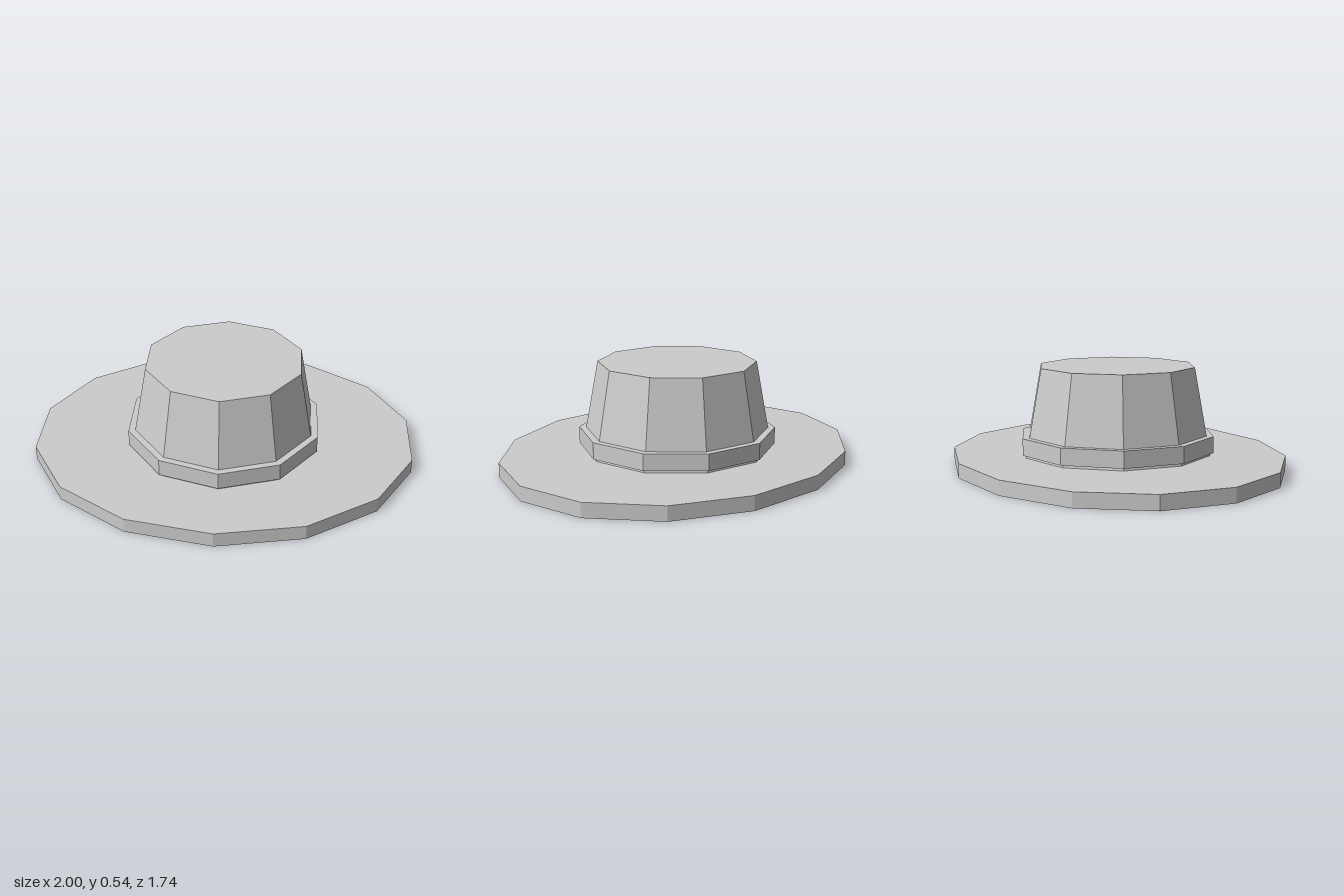
import * as THREE from 'three';

export function createModel() {
  const hat = new THREE.Group();
  hat.name = 'hat';
  const felt = new THREE.MeshStandardMaterial({ color: 0xcccccc, flatShading: true });
  felt.name = 'grey felt';

  // Faceted ring or drum standing between two heights
  function drum(name, topRadius, bottomRadius, y0, y1, sides) {
    const geometry = new THREE.CylinderGeometry(topRadius, bottomRadius, y1 - y0, sides);
    geometry.translate(0, (y0 + y1) / 2, 0);
    const mesh = new THREE.Mesh(geometry, felt);
    mesh.name = name;
    hat.add(mesh);
    return mesh;
  }

  // Wide oval brim, 14 sides
  const brim = drum('brim', 1, 1, 0, 0.077, 14);
  brim.geometry.scale(1 / Math.sin((6 * Math.PI) / 14), 1, 0.868);

  // Tapered crown, 10 sides
  drum('crown', 0.422, 0.509, 0.07, 0.543, 10);

  // Band around the foot of the crown
  drum('band', 0.526, 0.526, 0.092, 0.181, 10);

  return hat;
}
